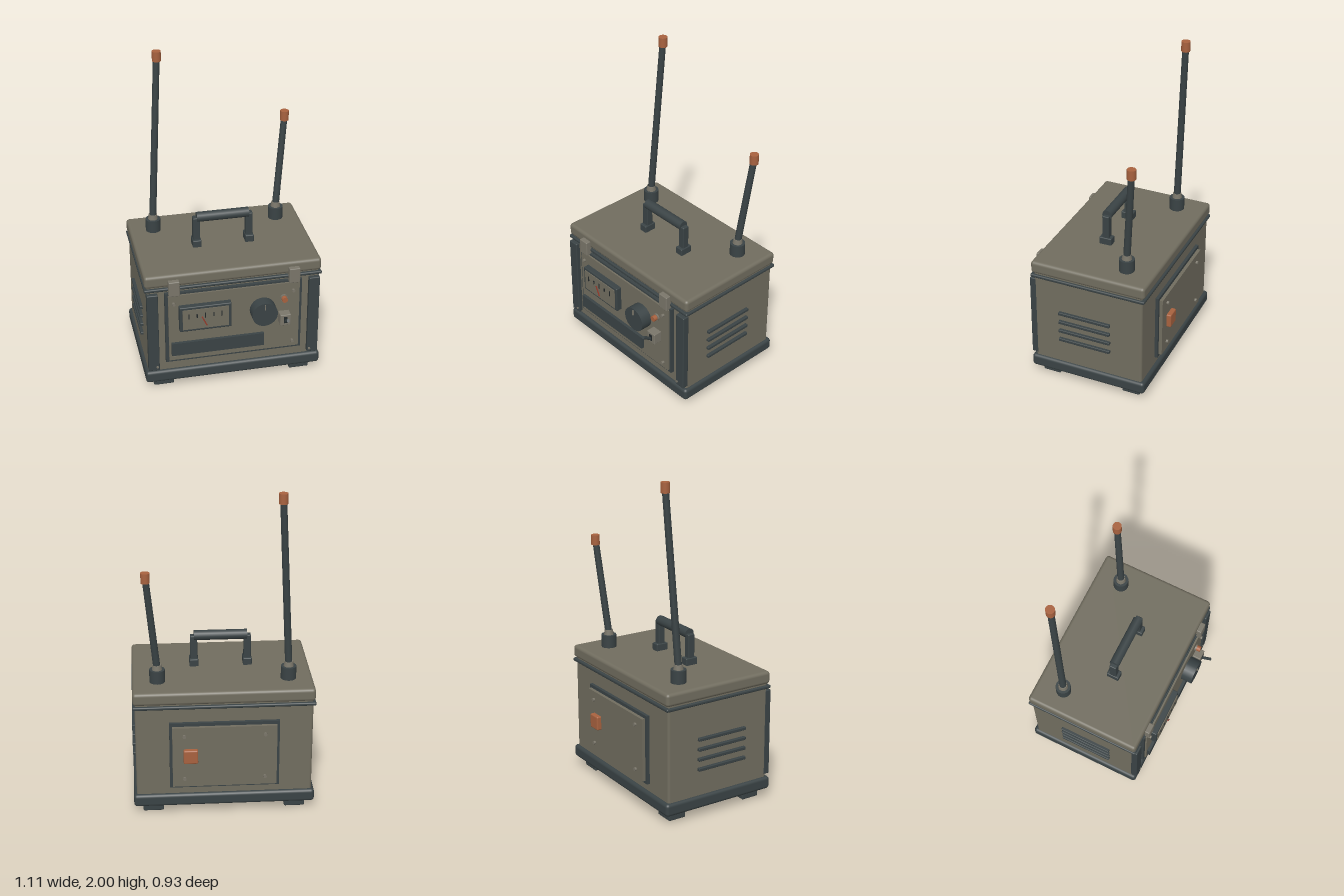
import * as THREE from 'three';
import { RoundedBoxGeometry } from 'three/addons/geometries/RoundedBoxGeometry.js';

const mat = (name, color) => {
  const m = new THREE.MeshStandardMaterial({ color });
  m.name = name;
  return m;
};

export function createModel() {
  const olive = mat('olive paint', 0x716d5f);
  const dark = mat('dark rubber', 0x3a4345);
  const metal = mat('worn metal', 0x7a766a);
  const copper = mat('copper', 0xa8623f);
  const red = mat('needle red', 0x96392a);
  const black = mat('tick black', 0x23282a);

  const model = new THREE.Group();
  model.name = 'fieldRadio';
  const add = (name, geo, material, x = 0, y = 0, z = 0, parent = model) => {
    const mesh = new THREE.Mesh(geo, material);
    mesh.name = name;
    mesh.position.set(x, y, z);
    parent.add(mesh);
    return mesh;
  };
  // Box given by its limits on each axis, with an optional rounding radius
  const box = (name, material, [x0, x1], [y0, y1], [z0, z1], r = 0) => {
    const s = [x1 - x0, y1 - y0, z1 - z0];
    const geo = r ? new RoundedBoxGeometry(...s, 3, r) : new THREE.BoxGeometry(...s);
    return add(name, geo, material, (x0 + x1) / 2, (y0 + y1) / 2, (z0 + z1) / 2);
  };
  // Cylinder whose axis runs along z
  const disc = (name, material, r, x, y, z0, z1, sides = 16) => {
    const geo = new THREE.CylinderGeometry(r, r, z1 - z0, sides).rotateX(Math.PI / 2);
    return add(name, geo, material, x, y, (z0 + z1) / 2);
  };

  // Case
  box('body', olive, [-0.535, 0.535], [0.1, 0.76], [-0.395, 0.315], 0.015);
  box('base', dark, [-0.553, 0.553], [0.058, 0.138], [-0.417, 0.337], 0.02);
  box('lid', olive, [-0.546, 0.546], [0.742, 0.822], [-0.41, 0.33], 0.02);
  box('seal', dark, [-0.549, 0.549], [0.714, 0.735], [-0.412, 0.332], 0.008);

  // Feet
  for (const x of [-0.436, 0.434])
    for (const z of [0.228, -0.308])
      box('foot', dark, [x - 0.063, x + 0.063], [0, 0.06], [z - 0.058, z + 0.058], 0.008);

  for (const s of [-1, 1]) {
    // Front corner guards with a screw near the bottom
    const guard = [s * 0.502 - 0.034, s * 0.502 + 0.034];
    box('cornerGuard', dark, guard, [0.153, 0.7], [0.3, 0.342], 0.006);
    disc('guardScrew', metal, 0.008, s * 0.482, 0.18, 0.34, 0.347, 8);
    // Lid latches
    box('latch', metal, [s * 0.371 - 0.034, s * 0.371 + 0.034], [0.69, 0.79], [0.32, 0.361], 0.006);
    // Side vent bars
    for (let i = 0; i < 4; i++) {
      const y = 0.307 + i * 0.0635;
      box('ventBar', dark, [s * 0.542 - 0.012, s * 0.542 + 0.012], [y - 0.01, y + 0.01], [-0.19, 0.148], 0.004);
    }
  }

  // Front control panel
  box('frontFrame', dark, [-0.427, 0.423], [0.205, 0.7], [0.3, 0.337]);
  box('frontPanel', olive, [-0.408, 0.406], [0.222, 0.688], [0.32, 0.348]);
  for (const x of [-0.376, 0.366])
    for (const y of [0.265, 0.635]) disc('panelScrew', metal, 0.01, x, y, 0.34, 0.365, 10);
  box('labelStrip', dark, [-0.394, 0.183], [0.265, 0.353], [0.34, 0.367]);

  // Meter with scale ticks and needle
  box('meterFrame', dark, [-0.346, -0.026], [0.445, 0.617], [0.34, 0.384], 0.006);
  box('meterFace', olive, [-0.328, -0.044], [0.462, 0.6], [0.37, 0.389]);
  for (let i = 0; i < 5; i++) {
    const x = -0.291 + i * 0.051, h = i % 2 ? 0.012 : 0.018;
    box('meterTick', black, [x - 0.003, x + 0.003], [0.555 - h, 0.555 + h], [0.388, 0.393]);
  }
  const needle = add('meterNeedle', new THREE.BoxGeometry(0.007, 0.07, 0.005), red, -0.196, 0.516, 0.397);
  needle.rotation.z = 0.43;

  // Tuning knob
  disc('knob', dark, 0.08, 0.174, 0.524, 0.34, 0.42, 24);
  box('knobPointer', metal, [0.171, 0.177], [0.56, 0.597], [0.418, 0.428]);

  // Lamp and toggle switch
  disc('lampRing', metal, 0.023, 0.307, 0.587, 0.34, 0.358);
  disc('lamp', copper, 0.018, 0.307, 0.587, 0.34, 0.383);
  box('switchBox', metal, [0.275, 0.343], [0.416, 0.492], [0.34, 0.402], 0.005);
  box('switchSlot', black, [0.298, 0.32], [0.435, 0.478], [0.398, 0.405]);
  const lever = add('switchLever', new THREE.CylinderGeometry(0.009, 0.009, 0.08, 10), dark, 0.309, 0.465, 0.427);
  lever.rotation.x = 0.95;
  lever.scale.z = 1.2;

  // Back access panel
  box('backFrame', dark, [-0.332, 0.332], [0.188, 0.624], [-0.415, -0.38]);
  box('backPanel', olive, [-0.315, 0.315], [0.206, 0.604], [-0.436, -0.4]);
  for (const x of [-0.243, 0.243])
    for (const y of [0.262, 0.55]) disc('backScrew', metal, 0.011, x, y, -0.449, -0.43, 10);
  box('backSocket', copper, [0.162, 0.249], [0.374, 0.463], [-0.465, -0.43], 0.008);

  // Carry handle
  for (const x of [-0.167, 0.163]) {
    box('handleFoot', dark, [x - 0.027, x + 0.027], [0.815, 0.867], [-0.04, 0.04], 0.006);
    box('handlePost', dark, [x - 0.022, x + 0.022], [0.85, 1.015], [-0.022, 0.022], 0.006);
  }
  const grip = new THREE.CylinderGeometry(0.031, 0.031, 0.326, 18).rotateZ(Math.PI / 2);
  add('handleGrip', grip, dark, -0.002, 1.014, 0);

  // Antennas: socket, collar, leaning rod and upright tip
  const up = new THREE.Vector3(0, 1, 0);
  const antenna = (x, tipX, top) => {
    const g = new THREE.Group();
    g.name = 'antenna';
    model.add(g);
    add('antennaSocket', new THREE.CylinderGeometry(0.047, 0.047, 0.09, 20), dark, x, 0.857, -0.235, g);
    add('antennaCollar', new THREE.CylinderGeometry(0.026, 0.031, 0.032, 16), metal, x, 0.917, -0.235, g);
    const a = new THREE.Vector3(x, 0.91, -0.235), b = new THREE.Vector3(tipX, top - 0.03, -0.286);
    const dir = b.clone().sub(a);
    const rod = add('antennaRod', new THREE.CylinderGeometry(0.02, 0.022, dir.length(), 14), dark, 0, 0, 0, g);
    rod.position.copy(a).addScaledVector(dir, 0.5);
    rod.quaternion.setFromUnitVectors(up, dir.normalize());
    add('antennaTip', new THREE.CylinderGeometry(0.027, 0.027, 0.062, 18), copper, tipX, top - 0.031, -0.286, g);
  };
  antenna(-0.398, -0.34, 2);
  antenna(0.394, 0.452, 1.54);

  return model;
}
